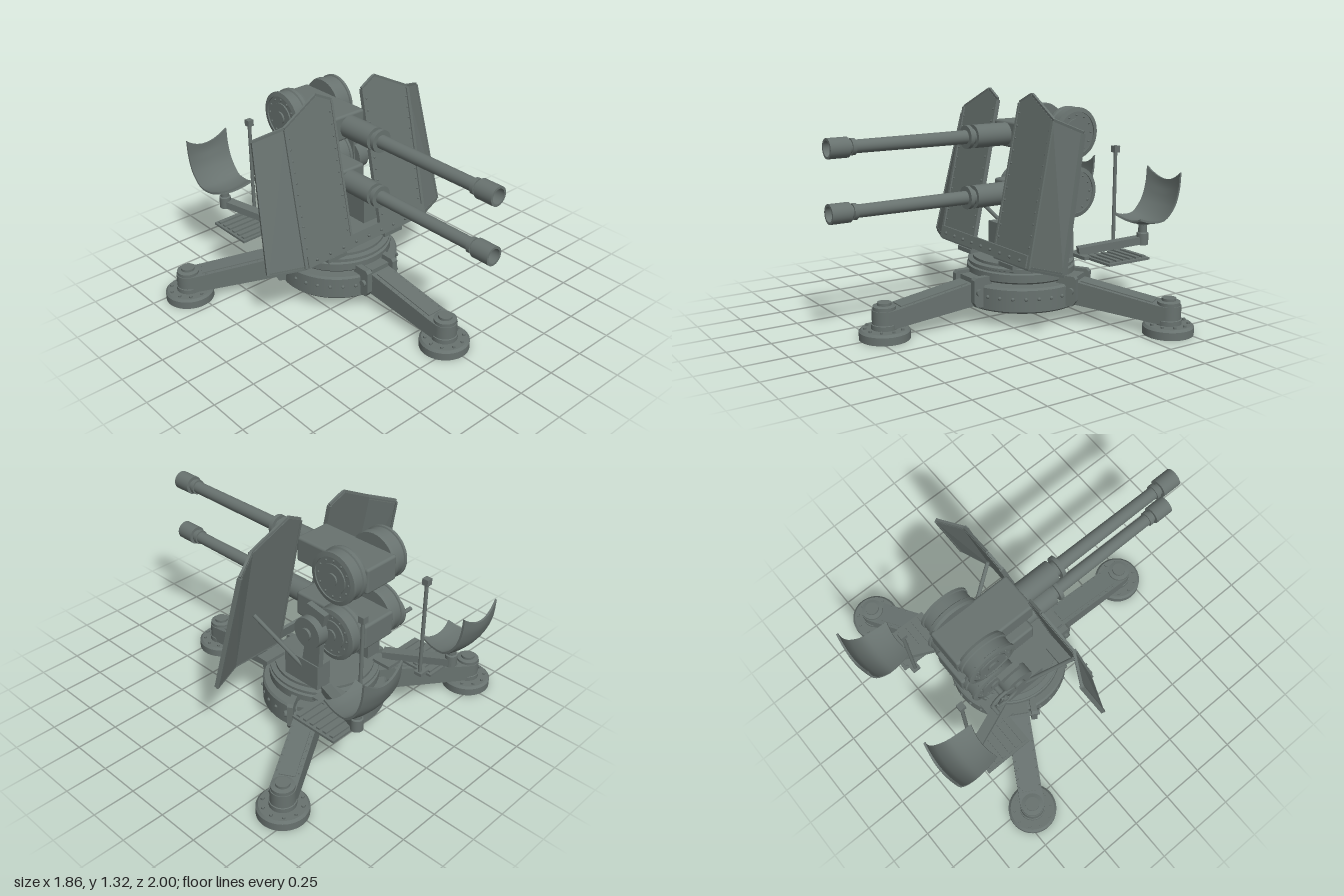
import * as THREE from 'three';
import { RoundedBoxGeometry } from 'three/addons/geometries/RoundedBoxGeometry.js';
import { ConvexGeometry } from 'three/addons/geometries/ConvexGeometry.js';

const paint = new THREE.MeshStandardMaterial({ color: 0x68726f });
const dark = new THREE.MeshStandardMaterial({ color: 0x23282a });
const V = (x, y, z) => new THREE.Vector3(x, y, z);

function add(parent, name, geo, x = 0, y = 0, z = 0, mat = paint) {
  const m = new THREE.Mesh(geo, mat);
  m.name = name;
  m.position.set(x, y, z);
  parent.add(m);
  return m;
}
function group(parent, name, x = 0, y = 0, z = 0) {
  const g = new THREE.Group();
  g.name = name;
  g.position.set(x, y, z);
  parent.add(g);
  return g;
}
const box = (w, h, d) => new THREE.BoxGeometry(w, h, d);
const cyl = (r, h, n = 32) => new THREE.CylinderGeometry(r, r, h, n);
const cylX = (r, h, n = 32) => cyl(r, h, n).rotateZ(Math.PI / 2);

// Stepped turned part; repeated points keep its corners sharp
function turned(points, n = 48) {
  const pts = points.flatMap(([r, y]) => [new THREE.Vector2(r, y), new THREE.Vector2(r, y)]);
  const g = new THREE.LatheGeometry(pts.map((p) => p), n).toNonIndexed();
  g.deleteAttribute('normal');
  // smooth around the axis, sharp along the profile
  const p = g.attributes.position, nor = new Float32Array(p.count * 3);
  const a = V(), b = V(), c = V();
  for (let i = 0; i < p.count; i += 3) {
    a.fromBufferAttribute(p, i); b.fromBufferAttribute(p, i + 1); c.fromBufferAttribute(p, i + 2);
    const f = b.clone().sub(a).cross(c.clone().sub(a)).normalize();
    const radial = Math.hypot(f.x, f.z);
    [a, b, c].forEach((q, k) => {
      const r = Math.hypot(q.x, q.z);
      const nx = r > 1e-5 ? (q.x / r) * radial : f.x, nz = r > 1e-5 ? (q.z / r) * radial : f.z;
      const s = r > 1e-5 && f.x * q.x + f.z * q.z < 0 ? -1 : 1;
      nor.set([nx * s, f.y, nz * s], (i + k) * 3);
    });
  }
  g.setAttribute('normal', new THREE.BufferAttribute(nor, 3));
  return g;
}
// Side outline of [z, y] points given a width along x
function sideCut(points, width) {
  const shape = new THREE.Shape(points.map(([z, y]) => new THREE.Vector2(z, y)));
  return new THREE.ExtrudeGeometry(shape, { depth: width, bevelEnabled: false })
    .translate(0, 0, -width / 2).rotateY(-Math.PI / 2);
}
// Straight bar between two points
function bar(parent, name, a, b, w, h = w, round = false) {
  const len = a.distanceTo(b);
  const geo = round ? cyl(w / 2, len, 12).rotateX(Math.PI / 2) : box(w, h, len);
  const m = add(parent, name, geo);
  m.position.copy(a).lerp(b, 0.5);
  m.lookAt(b);
  return m;
}
// Flat plate from front corners, thickened backwards
const plate = (corners, t) => new ConvexGeometry([...corners, ...corners.map((c) => c.clone().add(V(0, 0, -t)))]);
function rivetRow(parent, a, b, n, r = 0.007) {
  for (let i = 0; i < n; i++) {
    const p = a.clone().lerp(b, (i + 0.5) / n);
    add(parent, 'rivet', new THREE.SphereGeometry(r, 6, 4), p.x, p.y, p.z);
  }
}

function buildBase(root) {
  const base = group(root, 'base', 0, 0, -0.22);
  add(base, 'baseRing', turned([[0, 0.09], [0.35, 0.09], [0.36, 0.1], [0.36, 0.225], [0.35, 0.237], [0, 0.237]]));
  add(base, 'bearing', cyl(0.2, 0.03), 0, 0.245, 0);
  add(base, 'turntable', turned([[0, 0.25], [0.31, 0.25], [0.32, 0.26], [0.32, 0.305], [0.305, 0.31], [0.305, 0.318],
    [0.315, 0.322], [0.315, 0.335], [0.285, 0.34], [0.285, 0.356], [0, 0.356]]));
  for (let i = 0; i < 30; i++) {
    const a = (i / 30) * Math.PI * 2;
    add(base, 'ringBolt', new THREE.SphereGeometry(0.011, 8, 6), 0.36 * Math.sin(a), 0.175, 0.36 * Math.cos(a));
  }
  // Three legs with round feet
  for (let k = 0; k < 3; k++) {
    const leg = group(base, 'leg');
    leg.rotation.y = (k * Math.PI * 2) / 3;
    add(leg, 'legBeam', sideCut([[0.3, 0.11], [0.4, 0.105], [0.86, 0.065], [0.91, 0.065], [0.91, 0.165], [0.86, 0.17], [0.4, 0.24], [0.3, 0.25]], 0.14));
    add(leg, 'legTopStrip', sideCut([[0.4, 0.235], [0.83, 0.17], [0.83, 0.18], [0.4, 0.247]], 0.09));
    add(leg, 'legEnd', cyl(0.07, 0.1), 0, 0.115, 0.91);
    add(leg, 'hingeBlock', box(0.13, 0.07, 0.1), 0, 0.235, 0.33);
    for (const s of [-1, 1]) {
      add(leg, 'hingePlate', sideCut([[0.28, 0.11], [0.38, 0.11], [0.4, 0.14], [0.4, 0.27], [0.385, 0.285], [0.28, 0.285]], 0.035), s * 0.1);
      rivetRow(leg, V(s * 0.06, 0.234, 0.42), V(s * 0.06, 0.172, 0.83), 8);
    }
    add(leg, 'hingePin', cylX(0.02, 0.27, 12), 0, 0.2, 0.37);
    add(leg, 'footPost', turned([[0, 0.05], [0.075, 0.05], [0.075, 0.085], [0.065, 0.09], [0.065, 0.185], [0.04, 0.19], [0.04, 0.205], [0, 0.205]], 32), 0, 0, 0.91);
    add(leg, 'foot', turned([[0, 0], [0.143, 0], [0.143, 0.045], [0.13, 0.058], [0, 0.058]]), 0, 0, 0.91);
    for (let i = 0; i < 10; i++) {
      const a = ((i + 0.5) / 10) * Math.PI * 2;
      add(leg, 'footBolt', cyl(0.01, 0.014, 6), 0.11 * Math.sin(a), 0.062, 0.91 + 0.11 * Math.cos(a));
    }
  }
}

function buildGun(root, y) {
  const gun = group(root, 'gun', 0, y, 0);
  add(gun, 'receiver', new RoundedBoxGeometry(0.23, 0.15, 0.51, 3, 0.015), 0, 0, -0.36);
  // Barrel turned around its own axis, hollow at the muzzle
  const barrel = turned([[0, -0.14], [0.066, -0.14], [0.066, 0.115], [0.045, 0.115], [0.045, 0.14], [0.066, 0.14], [0.066, 0.163],
    [0.039, 0.163], [0.036, 0.845], [0.045, 0.845], [0.045, 0.868], [0.036, 0.868], [0.036, 0.885], [0.055, 0.885],
    [0.055, 1], [0.042, 1], [0.042, 0.93], [0, 0.93]], 32);
  add(gun, 'barrel', barrel.rotateX(Math.PI / 2));
  add(gun, 'bore', new THREE.CircleGeometry(0.041, 32), 0, 0, 0.932, dark);
  // Ammunition drums on both sides
  for (const s of [-1, 1]) {
    const drum = turned([[0, 0.1], [0.145, 0.1], [0.15, 0.115], [0.15, 0.135], [0.142, 0.14], [0.142, 0.19], [0.15, 0.193], [0.15, 0.207],
      [0.125, 0.212], [0.125, 0.204], [0.085, 0.204], [0.085, 0.212], [0.035, 0.212], [0.035, 0.222], [0, 0.222]]);
    add(gun, 'drum', drum.rotateZ(-s * Math.PI / 2), 0, 0, -0.46);
    for (let i = 0; i < 12; i++) {
      const a = (i / 12) * Math.PI * 2;
      add(gun, 'drumBolt', new THREE.SphereGeometry(0.007, 6, 4), s * 0.205, 0.105 * Math.sin(a), -0.46 + 0.105 * Math.cos(a));
    }
  }
}

function buildShield(root, s) {
  const shield = group(root, s > 0 ? 'leftShield' : 'rightShield');
  const P = (x, y) => V(s * x, y, 0.05 - 0.2 * (y - 0.4));
  const inLow = P(0.115, 0.4), inTop = P(0.115, 1.26), peak = P(0.215, 1.31);
  const foldLow = P(0.46, 0.4), foldTop = P(0.45, 1.19);
  const outLow = V(s * 0.663, 0.4, -0.03), outTop = V(s * 0.605, 1.135, -0.185);
  add(shield, 'innerPanel', plate([inLow, foldLow, foldTop, peak, inTop], 0.018));
  add(shield, 'outerPanel', plate([foldLow, outLow, outTop, foldTop], 0.018));
  // Raised rim, fold strip and rivets
  const rim = [inLow, inTop, peak, foldTop, outTop, outLow, foldLow, inLow];
  const back = V(0, 0, -0.008);
  for (let i = 0; i < rim.length - 1; i++) bar(shield, 'rim', rim[i].clone().add(back), rim[i + 1].clone().add(back), 0.014, 0.026);
  bar(shield, 'foldStrip', foldLow, foldTop, 0.02, 0.016);
  rivetRow(shield, P(0.135, 0.48), P(0.135, 1.24), 11);
  rivetRow(shield, P(0.435, 0.48), P(0.435, 1.17), 11);
  bar(shield, 'strut', V(s * 0.38, 0.74, -0.04), V(s * 0.25, 0.46, -0.285), 0.024, 0.024, true);
}

function buildMount(root, s) {
  const mount = group(root, s > 0 ? 'leftMount' : 'rightMount');
  add(mount, 'cheekBlock', box(0.1, 0.155, 0.25), s * 0.21, 0.435, -0.285);
  add(mount, 'cheekArm', sideCut([[-0.41, 0.5], [-0.285, 0.5], [-0.31, 0.65], [-0.32, 0.885], [-0.45, 0.86], [-0.42, 0.72]], 0.035), s * 0.235);
  add(mount, 'trunnionDisc', cylX(0.092, 0.07), s * 0.26, 0.73, -0.36);
  add(mount, 'trunnionCap', cylX(0.035, 0.02, 16), s * 0.3, 0.73, -0.36);
  add(mount, 'bracket', box(0.14, 0.025, 0.08), s * 0.22, 0.365, 0.0);
}

function buildSeat(root, s) {
  const seat = group(root, s > 0 ? 'leftSeat' : 'rightSeat');
  // Footplate with slats, and the arm to the seat post
  add(seat, 'footplate', box(0.23, 0.014, 0.3), s * 0.4, 0.356, -0.62);
  for (let i = 0; i < 6; i++) add(seat, 'slat', box(0.2, 0.014, 0.025), s * 0.4, 0.367, -0.5 - i * 0.048);
  add(seat, 'footplateArm', box(0.16, 0.02, 0.12), s * 0.25, 0.36, -0.5);
  bar(seat, 'seatArm', V(s * 0.24, 0.385, -0.46), V(s * 0.395, 0.44, -0.83), 0.06, 0.045);
  add(seat, 'seatPost', turned([[0, 0.41], [0.035, 0.41], [0.035, 0.48], [0.026, 0.485], [0.026, 0.53], [0.04, 0.535], [0.04, 0.55], [0, 0.55]], 20), s * 0.395, 0, -0.82);
  // Bucket seat: a thin slab bent along a side curve
  const curve = new THREE.CatmullRomCurve3([V(0, 0.57, -0.69), V(0, 0.548, -0.77), V(0, 0.555, -0.87), V(0, 0.635, -0.95), V(0, 0.735, -0.985), V(0, 0.845, -0.995)]);
  const geo = new THREE.BoxGeometry(2, 1, 1, 14, 1, 20);
  const p = geo.attributes.position;
  for (let i = 0; i < p.count; i++) {
    const u = p.getX(i), v = 0.5 - p.getZ(i);
    const c = curve.getPoint(v), t = curve.getTangent(v);
    const n = V(0, -t.z, t.y);
    c.addScaledVector(n, p.getY(i) * 0.012 + 0.022 * u * u);
    c.addScaledVector(t, -0.06 * (1 - u * u) * Math.max(0, v - 0.6) / 0.4 + 0.025 * (1 - u * u) * Math.max(0, 0.2 - v) / 0.2);
    p.setXYZ(i, u * (0.118 + 0.024 * Math.sin(Math.min(1, v * 1.5) * Math.PI / 2)), c.y, c.z);
  }
  geo.computeVertexNormals();
  add(seat, 'bucketSeat', geo, s * 0.395);
  // Sighting pole
  add(seat, 'pole', cyl(0.011, 0.6, 12), s * 0.255, 0.665, -0.715);
  add(seat, 'poleFoot', box(0.07, 0.02, 0.05), s * 0.27, 0.368, -0.715);
  add(seat, 'poleHead', box(0.038, 0.038, 0.038), s * 0.255, 0.97, -0.715);
}

function buildHandwheel(root) {
  const wheel = group(root, 'handwheel', -0.29, 0.66, -0.46);
  add(wheel, 'wheelRim', new THREE.TorusGeometry(0.09, 0.011, 8, 32).rotateY(Math.PI / 2));
  for (let i = 0; i < 3; i++) {
    const a = (i * Math.PI * 2) / 3;
    bar(wheel, 'spoke', V(0, 0, 0), V(0, 0.09 * Math.cos(a), 0.09 * Math.sin(a)), 0.012, 0.012, true);
  }
  add(wheel, 'axle', cylX(0.018, 0.12, 12), 0.04);
  add(wheel, 'handle', cylX(0.012, 0.06, 12), -0.03, 0.02, -0.088);
}

export function createModel() {
  const root = new THREE.Group();
  root.name = 'twinGunMount';
  buildBase(root);
  for (const y of [0.73, 1.075]) buildGun(root, y);
  for (const s of [-1, 1]) {
    buildShield(root, s);
    buildMount(root, s);
    buildSeat(root, s);
  }
  // Beam joining both shields
  add(root, 'shieldBeam', box(0.9, 0.07, 0.02), 0, 0.436, 0.05).rotation.x = -0.2;
  rivetRow(root, V(-0.44, 0.436, 0.062), V(0.44, 0.436, 0.062), 9, 0.01);
  buildHandwheel(root);
  return root;
}
